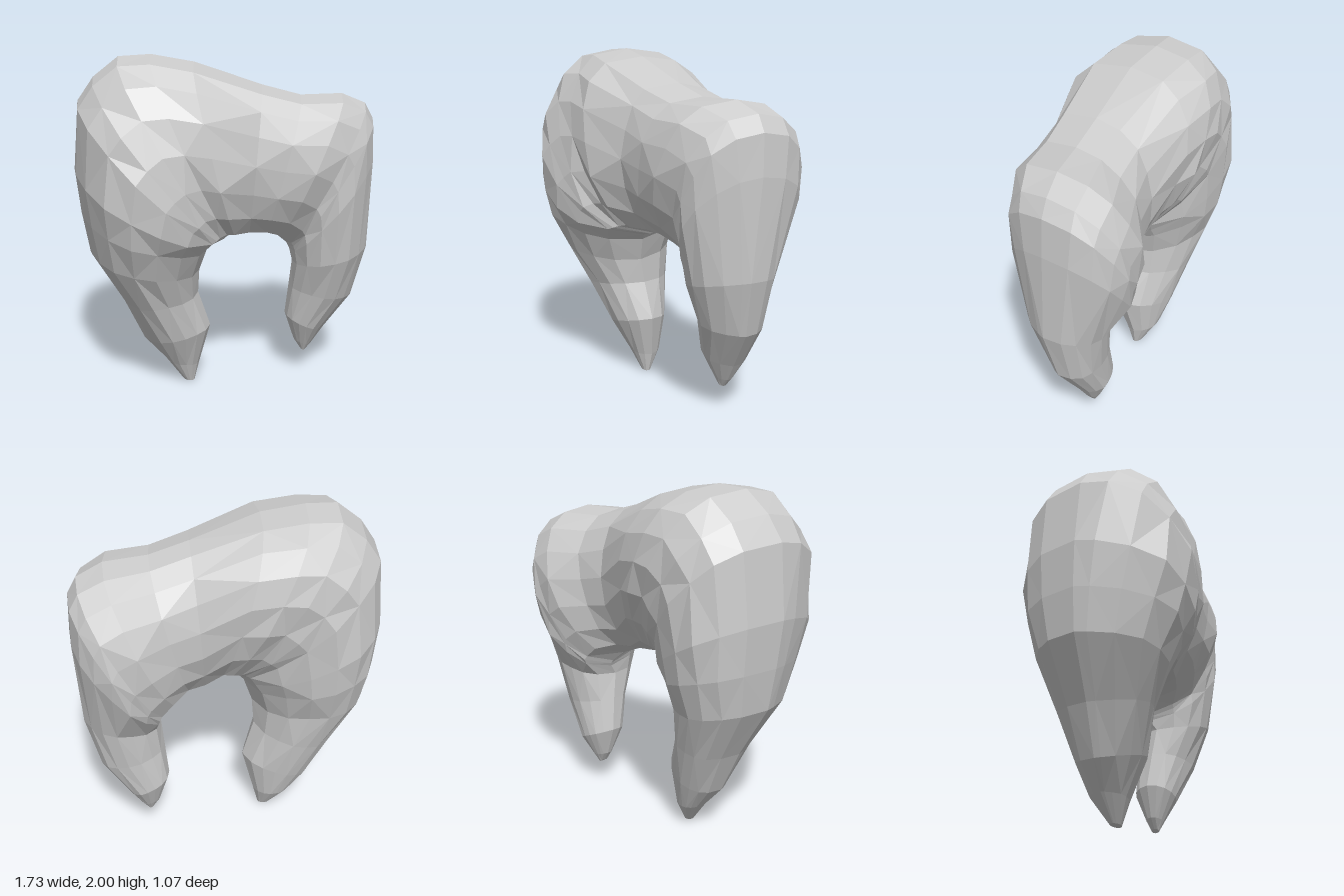
import * as THREE from 'three';

// Stations along the horseshoe, from one root tip over the crown to the other:
// inner x, inner y, outer x, outer y, front z, back z
const STATIONS = [
  [-0.20, 0.00, -0.27, 0.01, -0.02, -0.08],
  [-0.17, 0.12, -0.38, 0.15, 0.04, -0.16],
  [-0.10, 0.38, -0.50, 0.29, 0.15, -0.21],
  [-0.17, 0.60, -0.62, 0.55, 0.25, -0.27],
  [-0.16, 0.75, -0.80, 0.86, 0.37, -0.33],
  [-0.11, 0.89, -0.84, 1.10, 0.46, -0.40],
  [-0.06, 0.93, -0.865, 1.36, 0.52, -0.43],
  [-0.03, 0.94, -0.83, 1.75, 0.53, -0.44],
  [-0.01, 0.945, -0.74, 1.88, 0.51, -0.45],
  [0.00, 0.95, -0.60, 1.99, 0.47, -0.45],
  [0.03, 0.96, -0.42, 2.00, 0.43, -0.46],
  [0.06, 0.96, -0.18, 1.96, 0.42, -0.43],
  [0.13, 0.96, 0.20, 1.83, 0.29, -0.38],
  [0.22, 0.955, 0.42, 1.77, 0.27, -0.42],
  [0.30, 0.92, 0.66, 1.77, 0.25, -0.53],
  [0.36, 0.86, 0.80, 1.71, 0.18, -0.54],
  [0.37, 0.84, 0.85, 1.62, 0.17, -0.54],
  [0.38, 0.82, 0.86, 1.40, 0.16, -0.52],
  [0.395, 0.76, 0.84, 0.85, 0.10, -0.38],
  [0.38, 0.60, 0.76, 0.53, 0.01, -0.34],
  [0.36, 0.40, 0.60, 0.30, -0.06, -0.32],
  [0.42, 0.22, 0.53, 0.19, -0.14, -0.25],
  [0.46, 0.16, 0.49, 0.14, -0.17, -0.22],
];
const SIDES = 16;

// One cross-section: full inside and at the back, wedge-like at the outer front,
// where it grows rounder towards the top of the crown
function ring([ix, iy, ox, oy, front, back], row) {
  const points = [];
  const mid = (front + back) / 2, half = (front - back) / 2;
  const rise = Math.max(0, (oy - iy) / Math.hypot(ox - ix, oy - iy));
  const frontTaper = THREE.MathUtils.lerp(1.8, 0.5, rise * rise);
  const [backSkew, backTaper] = ox < 0 ? [0.66, 0.75] : [0.85, 0.85];
  for (let j = 0; j < SIDES; j++) {
    const a = (j / SIDES) * Math.PI * 2;
    const s = Math.sin(a), isFront = s > 0, isOuter = Math.cos(a) < 0;
    const t = Math.pow((1 - Math.cos(a)) / 2, isFront ? 0.9 : backSkew);
    const power = isFront ? (isOuter ? frontTaper : 0.8) : (isOuter ? backTaper : 0.75);
    // gentle unevenness gives the hand-carved facets
    const uneven = 1 - 0.02 * (1 + Math.sin(row * 2.7 + j * 4.1));
    const depth = Math.sign(s) * Math.pow(Math.abs(s), power) * half * uneven;
    points.push(new THREE.Vector3(ix + (ox - ix) * t, iy + (oy - iy) * t, mid + depth));
  }
  return points;
}

// Skins the rings and closes both root tips
function loft(rings) {
  const positions = [];
  const tri = (...corners) => corners.forEach((p) => positions.push(p.x, p.y, p.z));
  const last = rings.length - 1;
  const centre = (r) => r.reduce((c, p) => c.add(p), new THREE.Vector3()).divideScalar(SIDES);
  const startTip = centre(rings[0]), endTip = centre(rings[last]);
  for (let j = 0; j < SIDES; j++) {
    const k = (j + 1) % SIDES;
    for (let i = 0; i < last; i++) {
      const a = rings[i][j], b = rings[i + 1][j], c = rings[i + 1][k], d = rings[i][k];
      if ((i + j) % 2) {
        tri(a, b, d);
        tri(b, c, d);
      } else {
        tri(a, b, c);
        tri(a, c, d);
      }
    }
    tri(startTip, rings[0][j], rings[0][k]);
    tri(endTip, rings[last][k], rings[last][j]);
  }
  const geometry = new THREE.BufferGeometry();
  geometry.setAttribute('position', new THREE.Float32BufferAttribute(positions, 3));
  geometry.computeVertexNormals();
  return geometry;
}

export function createModel() {
  const group = new THREE.Group();
  group.name = 'molarTooth';
  const material = new THREE.MeshStandardMaterial({ color: 0xcccccc, flatShading: true });
  // Crown and both roots form one continuous body
  const body = new THREE.Mesh(loft(STATIONS.map(ring)), material);
  body.name = 'crownAndRoots';
  group.add(body);
  return group;
}
